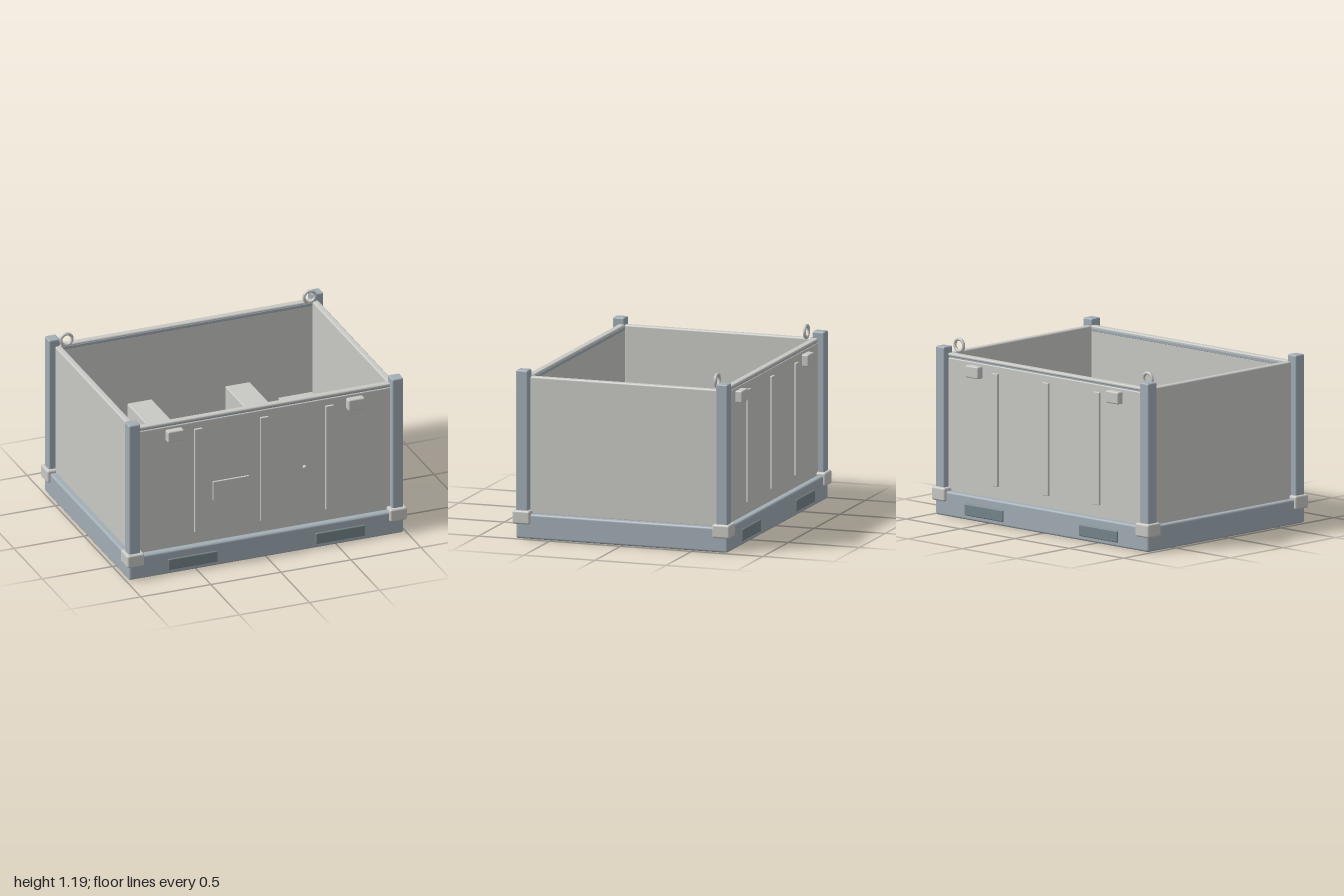
import * as THREE from 'three';
import { RoundedBoxGeometry } from 'three/addons/geometries/RoundedBoxGeometry.js';

export function createModel() {
  const root = new THREE.Group();
  root.name = 'openCargoCrate';
  const mat = (name, color) => {
    const m = new THREE.MeshStandardMaterial({ color });
    m.name = name;
    return m;
  };
  const panel = mat('light grey panel', 0xc8c8c5);
  const frame = mat('blue grey frame', 0xa2adb5);
  const dark = mat('dark slate', 0x75858a);

  const add = (name, geometry, material) => {
    const mesh = new THREE.Mesh(geometry, material);
    mesh.name = name;
    root.add(mesh);
    return mesh;
  };
  // Softened box given by its limits on each axis
  const box = (name, material, x0, x1, y0, y1, z0, z1, r = 0.008) => {
    const w = x1 - x0, h = y1 - y0, d = z1 - z0;
    const radius = Math.min(r, w * 0.45, h * 0.45, d * 0.45);
    const mesh = add(name, new RoundedBoxGeometry(w, h, d, 3, radius), material);
    mesh.position.set((x0 + x1) / 2, (y0 + y1) / 2, (z0 + z1) / 2);
    return mesh;
  };
  // Box placed by centre and size
  const block = (name, material, x, y, z, w, h, d, r) =>
    box(name, material, x - w / 2, x + w / 2, y - h / 2, y + h / 2, z - d / 2, z + d / 2, r);

  // Base and inner floor
  box('base', frame, -0.98, 0.98, 0, 0.168, -0.745, 0.745, 0.015);
  block('floor', dark, 0, 0.171, 0, 1.8, 0.008, 1.32, 0.001);

  for (const s of [-1, 1]) {
    // Side walls with softened top edge
    block('sideWall', panel, s * 0.918, 0.625, 0, 0.045, 0.93, 1.32, 0.012);

    // Front and back walls, dark seam and top rail
    block('endWall', panel, 0, 0.61, s * 0.678, 1.82, 0.9, 0.044);
    block('railSeam', frame, 0, 1.065, s * 0.674, 1.82, 0.022, 0.04, 0.003);
    block('topRail', panel, 0, 1.08, s * 0.68, 1.82, 0.022, 0.048, 0.01);

    // Raised ribs
    for (const x of [-0.47, 0, 0.467])
      block('wallRib', panel, x, 0.63, s * 0.703, 0.058, 0.76, 0.026, 0.004);

    for (const t of [-1, 1]) {
      // Corner posts and collars
      block('cornerPost', frame, t * 0.94, 0.615, s * 0.703, 0.08, 1.04, 0.083, 0.01);
      block('cornerCollar', panel, t * 0.938, 0.145, s * 0.703, 0.124, 0.092, 0.124, 0.014);
      // Latch blocks and fork pocket covers
      block('latchBlock', panel, t * 0.645, 1.0, s * 0.722, 0.117, 0.082, 0.052, 0.01);
      block('forkPocket', dark, t * 0.527, 0.07, s * 0.742, 0.354, 0.08, 0.026, 0.008);
    }

    // Lifting rings at the back
    const ring = add('liftingRing', new THREE.TorusGeometry(0.04, 0.011, 12, 32), panel);
    ring.position.set(s * 0.868, 1.139, -0.632);

    // Low benches along the sides and taller dividers
    block('sideBench', panel, s * 0.77, 0.3, 0, 0.245, 0.27, 1.28);
    block('divider', panel, s * 0.35, 0.38, 0, 0.178, 0.43, 1.25);
  }

  // Front plate and button
  block('frontPlate', panel, -0.237, 0.53, 0.703, 0.258, 0.14, 0.02, 0.003);
  const button = add('frontButton', new THREE.SphereGeometry(0.014, 16, 12), panel);
  button.position.set(0.29, 0.588, 0.703);

  // Stowed cases and retaining strap
  box('largeCase', dark, -0.478, 0.008, 0.17, 0.42, -0.548, -0.158, 0.035);
  box('smallCase', dark, 0.07, 0.485, 0.17, 0.4, -0.548, -0.205, 0.035);
  box('caseStrap', frame, -0.263, -0.208, 0.17, 0.435, -0.56, -0.145, 0.006);

  return root;
}
